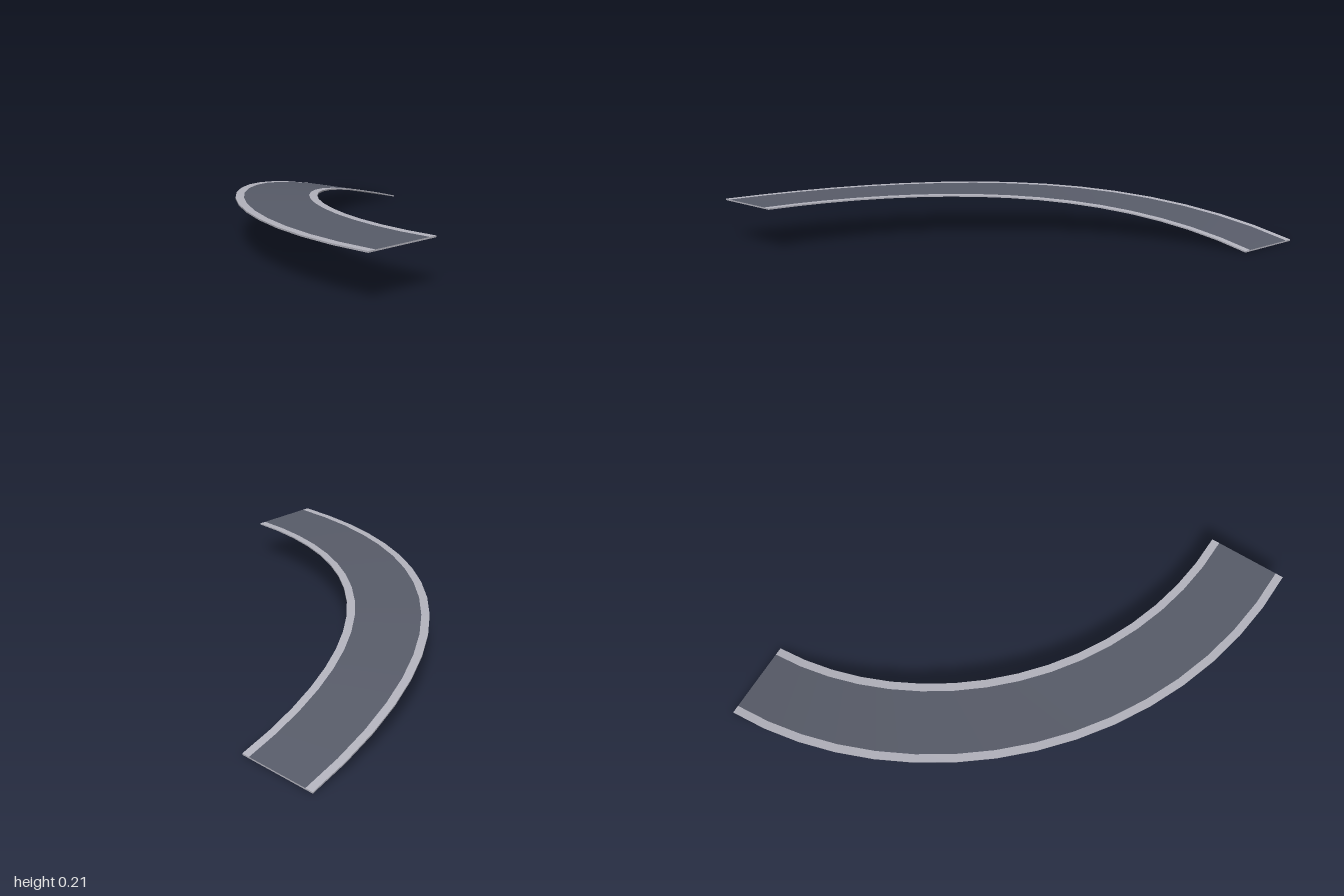
import * as THREE from 'three';

const SEGMENTS = 16;      // facets along the quarter turn
const INNER = 1.6, OUTER = 2, KERB = 0.04, THICK = 0.007;

// Point on the ramp: step along the turn, radius, depth below the deck
function deckPoint(i, r, depth) {
  const a = (i / SEGMENTS) * Math.PI / 2;
  const u = 1 - Math.cos(a);
  const across = (r - INNER) / (OUTER - INNER);
  const y = 0.208 + 0.088 * across * u - (0.201 + 0.088 * across) * u * u;
  return [1 - r * Math.cos(a), y - depth, 1 - r * Math.sin(a)];
}

function geometryFrom(points, index) {
  const g = new THREE.BufferGeometry();
  g.setAttribute('position', new THREE.Float32BufferAttribute(points.flat(), 3));
  g.setIndex(index);
  g.computeVertexNormals();
  return g;
}

// Band swept along the turn between two section corners [radius, depth]
function band(from, to) {
  const points = [], index = [];
  for (let i = 0; i <= SEGMENTS; i++) {
    points.push(deckPoint(i, ...from), deckPoint(i, ...to));
    if (i < SEGMENTS) {
      const k = i * 2;
      index.push(k, k + 2, k + 1, k + 1, k + 2, k + 3);
    }
  }
  return geometryFrom(points, index);
}

export function createModel() {
  const concrete = new THREE.MeshStandardMaterial({ color: 0xb3b3bd });
  concrete.name = 'concrete';
  const asphalt = new THREE.MeshStandardMaterial({ color: 0x585c69 });
  asphalt.name = 'asphalt';

  const ramp = new THREE.Group();
  ramp.name = 'curvedRoadRamp';
  const add = (name, geometry, material) => {
    const mesh = new THREE.Mesh(geometry, material);
    mesh.name = name;
    ramp.add(mesh);
  };

  // Driving surface with a pale border on each side
  add('roadSurface', band([INNER + KERB, 0], [OUTER - KERB, 0]), asphalt);
  add('innerBorder', band([INNER, 0], [INNER + KERB, 0]), concrete);
  add('outerBorder', band([OUTER - KERB, 0], [OUTER, 0]), concrete);

  // Edges and underside of the thin slab
  add('outerEdge', band([OUTER, 0], [OUTER, THICK]), concrete);
  add('underside', band([OUTER, THICK], [INNER, THICK]), concrete);
  add('innerEdge', band([INNER, THICK], [INNER, 0]), concrete);

  // End faces
  const section = [[INNER, 0], [OUTER, 0], [OUTER, THICK], [INNER, THICK]];
  const cap = (i, index) => geometryFrom(section.map((s) => deckPoint(i, ...s)), index);
  add('upperEnd', cap(0, [0, 1, 2, 0, 2, 3]), concrete);
  add('lowerEnd', cap(SEGMENTS, [0, 2, 1, 0, 3, 2]), concrete);

  return ramp;
}
